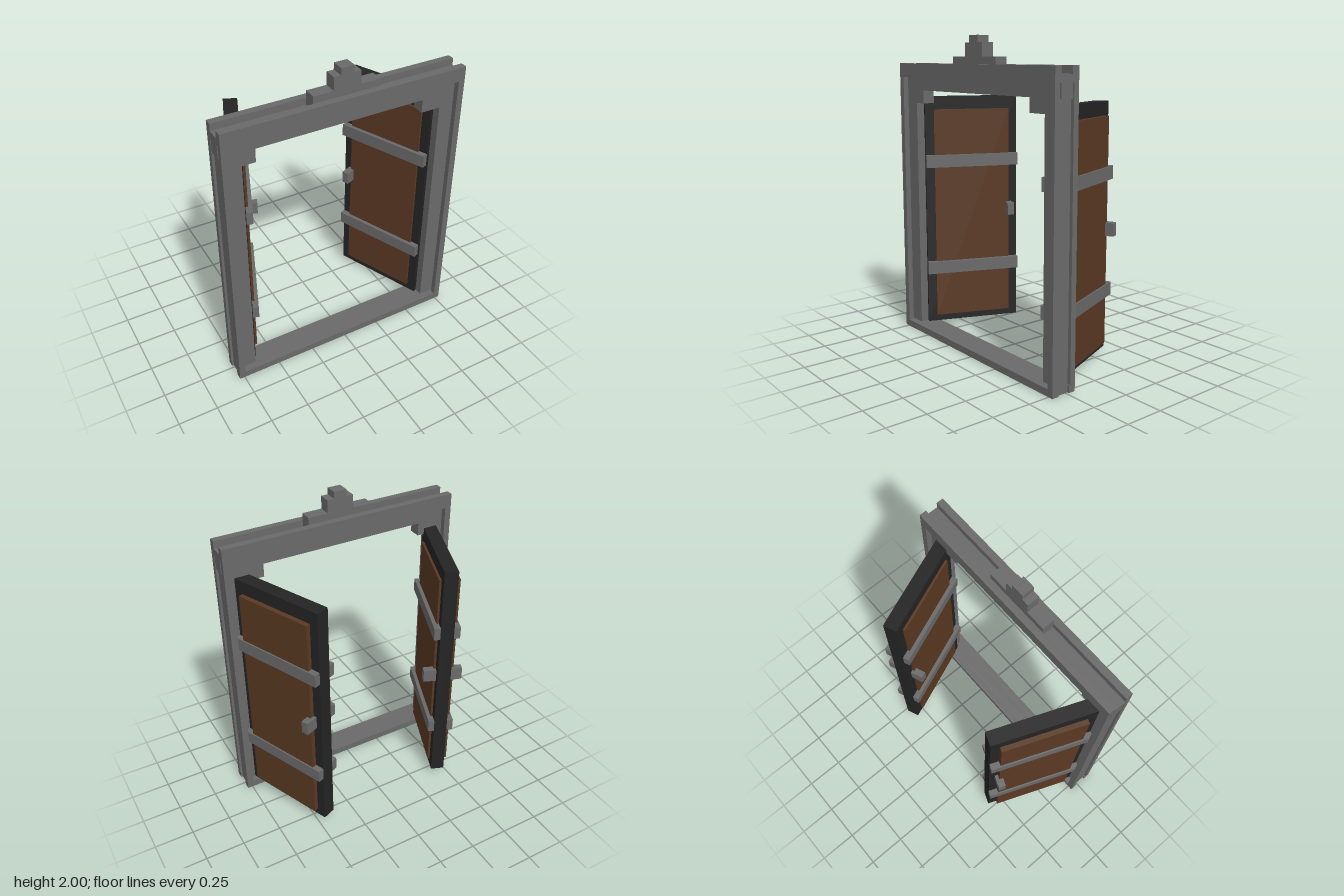
import * as THREE from 'three';

const iron = new THREE.MeshStandardMaterial({ color: 0x6a6a6a });
iron.name = 'grey metal';
const wood = new THREE.MeshStandardMaterial({ color: 0x5a3923 });
wood.name = 'brown wood';
const dark = new THREE.MeshStandardMaterial({ color: 0x242424 });
dark.name = 'dark wood';

// Box given by its low and high limits on each axis
function box(parent, name, material, [x0, x1], [y0, y1], [z0, z1]) {
  const mesh = new THREE.Mesh(new THREE.BoxGeometry(x1 - x0, y1 - y0, z1 - z0), material);
  mesh.position.set((x0 + x1) / 2, (y0 + y1) / 2, (z0 + z1) / 2);
  mesh.name = name;
  parent.add(mesh);
}

// Limits on the chosen side of x = 0
const sided = (s, a, b) => (s > 0 ? [a, b] : [-b, -a]);

function createFrame() {
  const frame = new THREE.Group();
  frame.name = 'frame';
  const core = [0.235, 0.315];

  // Central layer
  box(frame, 'lintel', iron, [-0.782, 0.782], [1.655, 1.785], core);
  box(frame, 'sill', iron, [-0.65, 0.65], [0.02, 0.045], core);
  for (const s of [1, -1]) {
    box(frame, 'post', iron, sided(s, 0.65, 0.77), [0, 1.655], core);
    box(frame, 'cornerBracket', iron, sided(s, s > 0 ? 0.52 : 0.567, 0.65), [1.57, 1.655], core);
  }

  // Narrow outer trims before and behind the central layer
  const trims = [
    { name: 'frontTrim', rail: [0.315, 0.36], post: [0.325, 0.36] },
    { name: 'backTrim', rail: [0.19, 0.235], post: [0.19, 0.225] },
  ];
  for (const { name, rail, post } of trims) {
    box(frame, name + 'Top', iron, [-0.782, 0.782], [1.74, 1.83], rail);
    box(frame, name + 'Bottom', iron, [-0.782, 0.782], [0, 0.045], rail);
    for (const s of [1, -1]) {
      box(frame, name + 'Post', iron, sided(s, 0.74, 0.782), [0.045, 1.74], post);
    }
  }

  // Stepped crest
  const steps = [[0.215, 1.785, 1.875], [0.087, 1.875, 1.957], [0.042, 1.957, 2]];
  for (const [half, y0, y1] of steps) {
    box(frame, 'crestStep', iron, [-half, half], [y0, y1], core);
  }
  return frame;
}

// Door leaf hinged at its local origin; +z is the inner face
function createDoor(s) {
  const door = new THREE.Group();
  door.name = s > 0 ? 'leftDoor' : 'rightDoor';
  const width = 0.635;
  const half = 0.0435;
  const along = (a, b) => sided(-s, a, b);

  box(door, 'doorSlab', dark, along(0, width), [0.045, 1.61], [-half, half]);
  box(door, 'outerPanel', wood, along(0.058, width - 0.058), [0.09, 1.525], [-half - 0.03, -half]);
  box(door, 'innerPanel', wood, along(0.058, width - 0.058), [0.09, 1.525], [half, half + 0.015]);

  // Straps and handles on both faces
  for (const f of [1, -1]) {
    for (const y of [0.395, 1.135]) {
      box(door, 'strap', iron, along(-0.001, width + 0.001), [y, y + 0.083], sided(f, half, 0.083));
    }
    box(door, 'handle', iron, along(width - 0.083, width - 0.037), [0.79, 0.873], sided(f, half, 0.126));
  }
  door.position.set(s * 0.667, 0, 0.253);
  door.rotation.y = -s * THREE.MathUtils.degToRad(68);
  return door;
}

export function createModel() {
  const model = new THREE.Group();
  model.name = 'doubleDoor';
  model.add(createFrame(), createDoor(1), createDoor(-1));
  return model;
}
